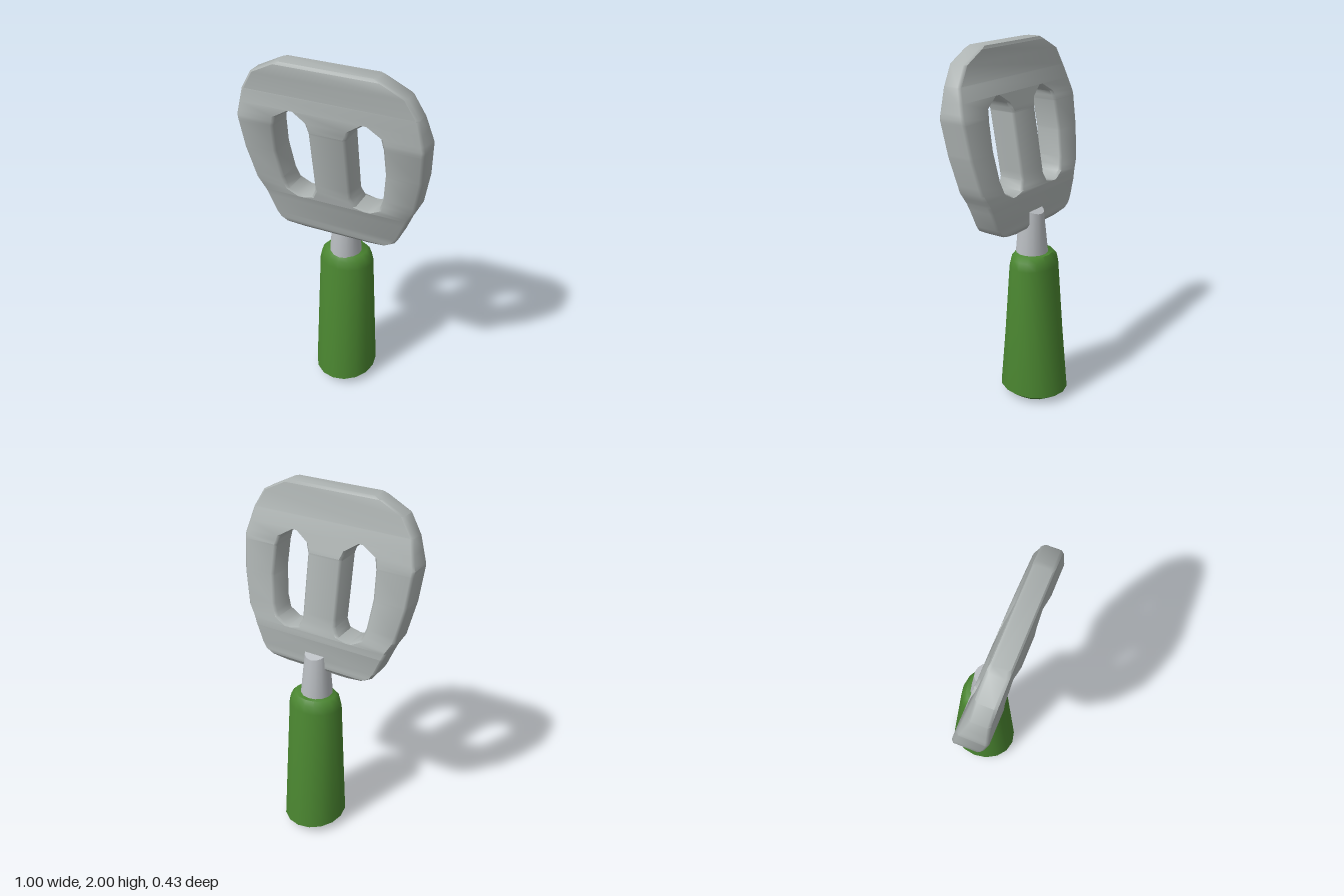
import * as THREE from 'three';
import { mergeGeometries, toCreasedNormals } from 'three/addons/utils/BufferGeometryUtils.js';

// Piecewise linear lookup in a list of [y, value] pairs
function lookup(table, y) {
  if (y <= table[0][0]) return table[0][1];
  for (let i = 1; i < table.length; i++) {
    const [y0, v0] = table[i - 1], [y1, v1] = table[i];
    if (y <= y1) return v0 + (v1 - v0) * (y - y0) / (y1 - y0);
  }
  return table[table.length - 1][1];
}

// Blade profiles: half width, slot edges, and front and back surfaces
const OUTER = [[1.03, 0.2], [1.045, 0.29], [1.07, 0.335], [1.10, 0.355], [1.235, 0.41], [1.3, 0.447],
  [1.485, 0.485], [1.68, 0.5], [1.825, 0.465], [1.925, 0.405], [2.0, 0.255]];
const SLOT_IN = [[1.235, 0.19], [1.25, 0.125], [1.3, 0.1], [1.655, 0.1], [1.705, 0.12], [1.755, 0.195]];
const SLOT_OUT = [[1.235, 0.19], [1.27, 0.255], [1.34, 0.28], [1.5, 0.3], [1.65, 0.295], [1.705, 0.28], [1.755, 0.195]];
const FRONT = [[1.03, 0.1], [1.05, 0.118], [1.2, 0.13], [1.66, 0.21], [1.83, 0.205], [1.985, 0.217], [2.0, 0.21]];
const BACK = [[1.03, -0.02], [1.05, -0.03], [1.2, -0.025], [1.66, 0.05], [1.83, 0.1], [1.985, 0.112], [2.0, 0.118]];
const LEVELS = [...new Set([OUTER, SLOT_IN, SLOT_OUT, FRONT, BACK].flat().map(p => p[0]))].sort((a, b) => a - b);

// Bevelled bar lofted upwards between the edges left(y) and right(y)
function bar(y0, y1, left, right) {
  const rows = LEVELS.filter(y => y >= y0 && y <= y1), c = 0.014, n = 8;
  const pos = [], index = [];
  for (const y of rows) {
    const a = left(y), b = right(y), f = lookup(FRONT, y), k = lookup(BACK, y);
    const loop = [[a, k + c], [a + c, k], [b - c, k], [b, k + c], [b, f - c], [b - c, f], [a + c, f], [a, f - c]];
    for (const [x, z] of loop) pos.push(x, y, z);
  }
  for (let r = 0; r < rows.length - 1; r++) {
    for (let i = 0; i < n; i++) {
      const a = r * n + i, b = r * n + (i + 1) % n;
      index.push(a, a + n, b + n, a, b + n, b);
    }
  }
  const top = (rows.length - 1) * n;
  for (let i = 1; i < n - 1; i++) index.push(0, i, i + 1, top, top + i + 1, top + i);
  const g = new THREE.BufferGeometry();
  g.setAttribute('position', new THREE.Float32BufferAttribute(pos, 3));
  g.setIndex(index);
  return g;
}

export function createModel() {
  const group = new THREE.Group();
  const material = (name, color) => {
    const m = new THREE.MeshStandardMaterial({ color });
    m.name = name;
    return m;
  };
  const steel = material('blade grey', 0xadb3b2);
  const paleSteel = material('neck grey', 0xb9bdc1);
  const green = material('handle green', 0x4a8530);
  const add = (name, geometry, mat) => {
    const mesh = new THREE.Mesh(geometry, mat);
    mesh.name = name;
    group.add(mesh);
    return mesh;
  };

  // Blade: solid ends joined by a middle bar and two side bars around the slots
  const outer = y => lookup(OUTER, y), slotIn = y => lookup(SLOT_IN, y), slotOut = y => lookup(SLOT_OUT, y);
  const blade = mergeGeometries([
    bar(1.03, 1.235, y => -outer(y), outer),
    bar(1.235, 1.755, y => -slotIn(y), slotIn),
    bar(1.235, 1.755, slotOut, outer),
    bar(1.235, 1.755, y => -outer(y), y => -slotOut(y)),
    bar(1.755, 2.0, y => -outer(y), outer),
  ]);
  add('blade', toCreasedNormals(blade, 0.85), steel);

  // Neck: tapered rod with a slanted end behind the blade
  const neckGeo = new THREE.CylinderGeometry(0.066, 0.09, 0.26, 14);
  const p = neckGeo.attributes.position;
  for (let i = 0; i < p.count; i++) {
    if (p.getY(i) > 0) p.setY(i, p.getY(i) + 0.4 * p.getZ(i));
  }
  neckGeo.translate(0.01, 1.0, -0.003);
  add('neck', toCreasedNormals(neckGeo, 0.7), paleSteel);

  // Handle: oval tapered grip with a chamfered foot and rounded shoulder
  const profile = [[0, 0.005], [0.135, 0.005], [0.2, 0.05], [0.127, 0.81], [0.118, 0.855], [0.098, 0.88], [0, 0.88]]
    .map(([r, y]) => new THREE.Vector2(r, y));
  const handleGeo = new THREE.LatheGeometry(profile, 16);
  const h = handleGeo.attributes.position;
  for (let i = 0; i < h.count; i++) {
    // Flatten the oval more towards the foot
    const y = h.getY(i), flat = y < 0.06 ? 0.875 : 0.875 + 0.325 * Math.min(1, (y - 0.05) / 0.76);
    h.setXYZ(i, h.getX(i) * flat + 0.01, y - 0.005, h.getZ(i) - 0.017);
  }
  add('handle', toCreasedNormals(handleGeo, 0.9), green);

  return group;
}
